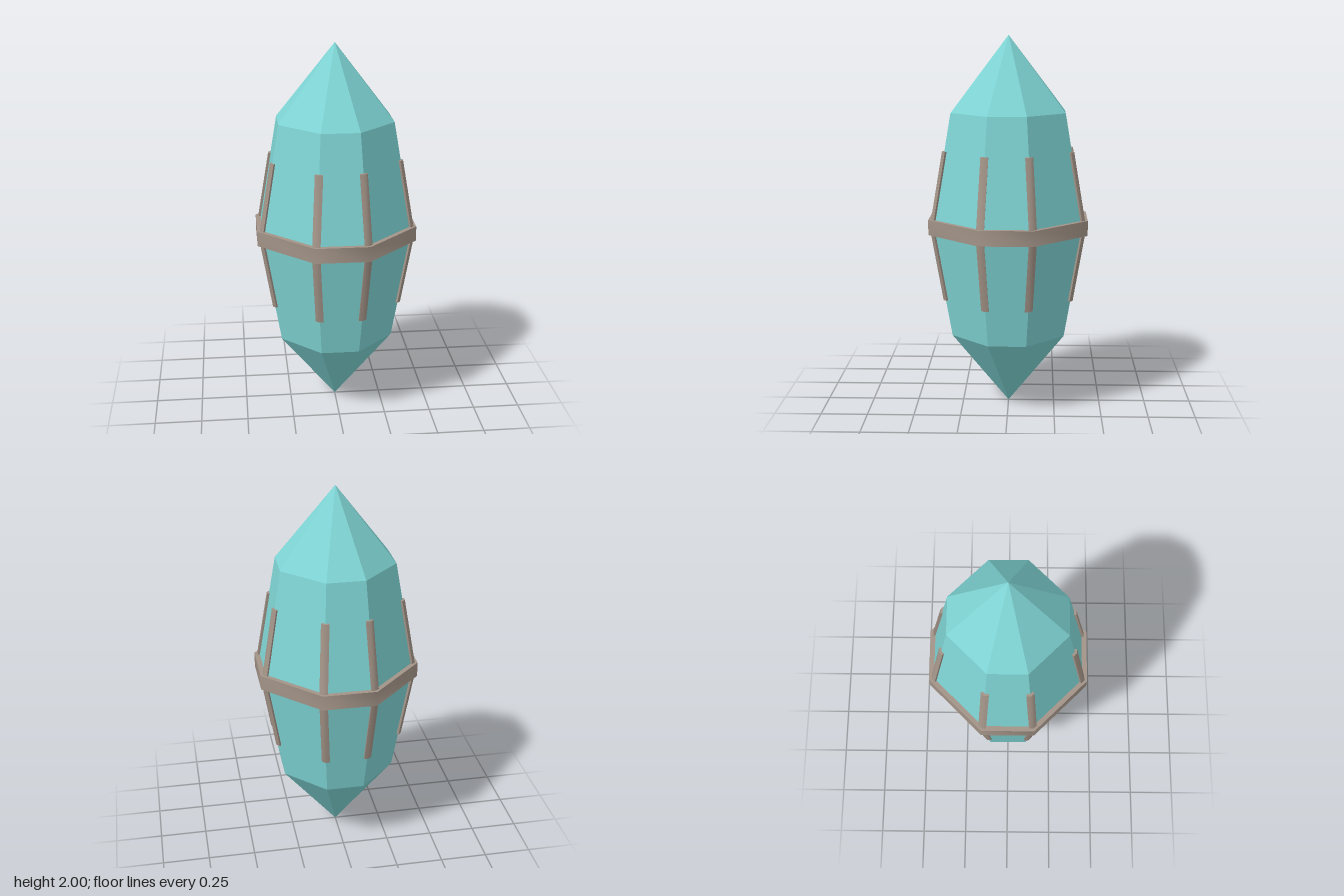
import * as THREE from 'three';
import { toCreasedNormals } from 'three/addons/utils/BufferGeometryUtils.js';

const CREASE = Math.PI / 3;

// Corner i of the uneven octagon whose flat sides lie at distance r
// (corners at (±r/3, ±r) and (±r, ±r/3)).
function corner(i, r) {
  const tilt = Math.atan(1 / 3);
  const quarter = Math.floor(i / 2) * Math.PI / 2;
  const a = quarter + (i % 2 ? Math.PI / 2 - tilt : tilt);
  const d = r * Math.sqrt(10) / 3;
  return new THREE.Vector2(d * Math.sin(a), d * Math.cos(a));
}

function octagon(r) {
  return Array.from({ length: 8 }, (_, i) => corner(i, r));
}

// Extrude a floor-plan outline upwards from y0 by the given height.
function extrudeUp(shape, y0, height) {
  const g = new THREE.ExtrudeGeometry(shape, { depth: height, bevelEnabled: false });
  g.rotateX(-Math.PI / 2);
  g.translate(0, y0, 0);
  return g;
}

// Double-pointed faceted crystal
function crystalGeometry() {
  const profile = [[0, 0], [0.3, 0.4], [0.4, 1], [0.3, 1.6], [0, 2]]
    .map(([r, y]) => new THREE.Vector2(r, y));
  const g = new THREE.LatheGeometry(profile, 8);
  const pos = g.attributes.position;
  for (let v = 0; v < pos.count; v++) {
    const p = profile[v % profile.length];
    const c = corner(Math.floor(v / profile.length), p.x);
    pos.setXYZ(v, c.x, p.y, c.y);
  }
  return g;
}

// Band round the waist
function bandGeometry() {
  const shape = new THREE.Shape(octagon(0.42));
  shape.holes.push(new THREE.Path(octagon(0.39)));
  return toCreasedNormals(extrudeUp(shape, 0.96, 0.08), CREASE);
}

// Angled strip wrapped over one crystal edge, leaning in with it.
// Coordinates are relative to the waist line (y = 0).
function clawGeometry() {
  const t = 0.012, w = 0.019, k = Math.SQRT1_2, m = Math.tan(Math.PI / 8);
  const cx = 0.4, cz = 0.4 / 3;
  // offset of the two wings from the edge at depth d, as (x, z)
  const wingA = d => [cx + d, cz - w];
  const wingB = d => [cx + k * (d - w), cz + k * (d + w)];
  const ridge = d => [cx + d, cz + d * m];
  const outline = [wingA(t), ridge(t), wingB(t), wingB(-t), ridge(-t), wingA(-t)];
  const shape = new THREE.Shape(outline.map(([x, z]) => new THREE.Vector2(x, -z)));
  const g = extrudeUp(shape, 0, 0.4);
  const pos = g.attributes.position;
  for (let v = 0; v < pos.count; v++) {
    const y = pos.getY(v);
    pos.setX(v, pos.getX(v) - y / 6);
    pos.setZ(v, pos.getZ(v) - y / 18);
  }
  return toCreasedNormals(g, CREASE);
}

export function createModel() {
  const model = new THREE.Group();
  model.name = 'mountedCrystal';
  const gem = new THREE.MeshStandardMaterial({ color: 0x7fd4d4, flatShading: true });
  const metal = new THREE.MeshStandardMaterial({ color: 0xa39488 });

  const add = (name, geometry, material) => {
    const mesh = new THREE.Mesh(geometry, material);
    mesh.name = name;
    model.add(mesh);
    return mesh;
  };

  add('crystal', crystalGeometry(), gem);
  add('waistBand', bandGeometry(), metal);

  // Eight claws above the band and eight below
  const claw = clawGeometry();
  for (let quarter = 0; quarter < 4; quarter++) {
    for (const side of [1, -1]) {
      for (const up of [1, -1]) {
        const mesh = add(up > 0 ? 'upperClaw' : 'lowerClaw', claw, metal);
        mesh.position.y = 1;
        mesh.scale.set(1, up, side);
        mesh.rotation.y = quarter * Math.PI / 2;
      }
    }
  }
  return model;
}
